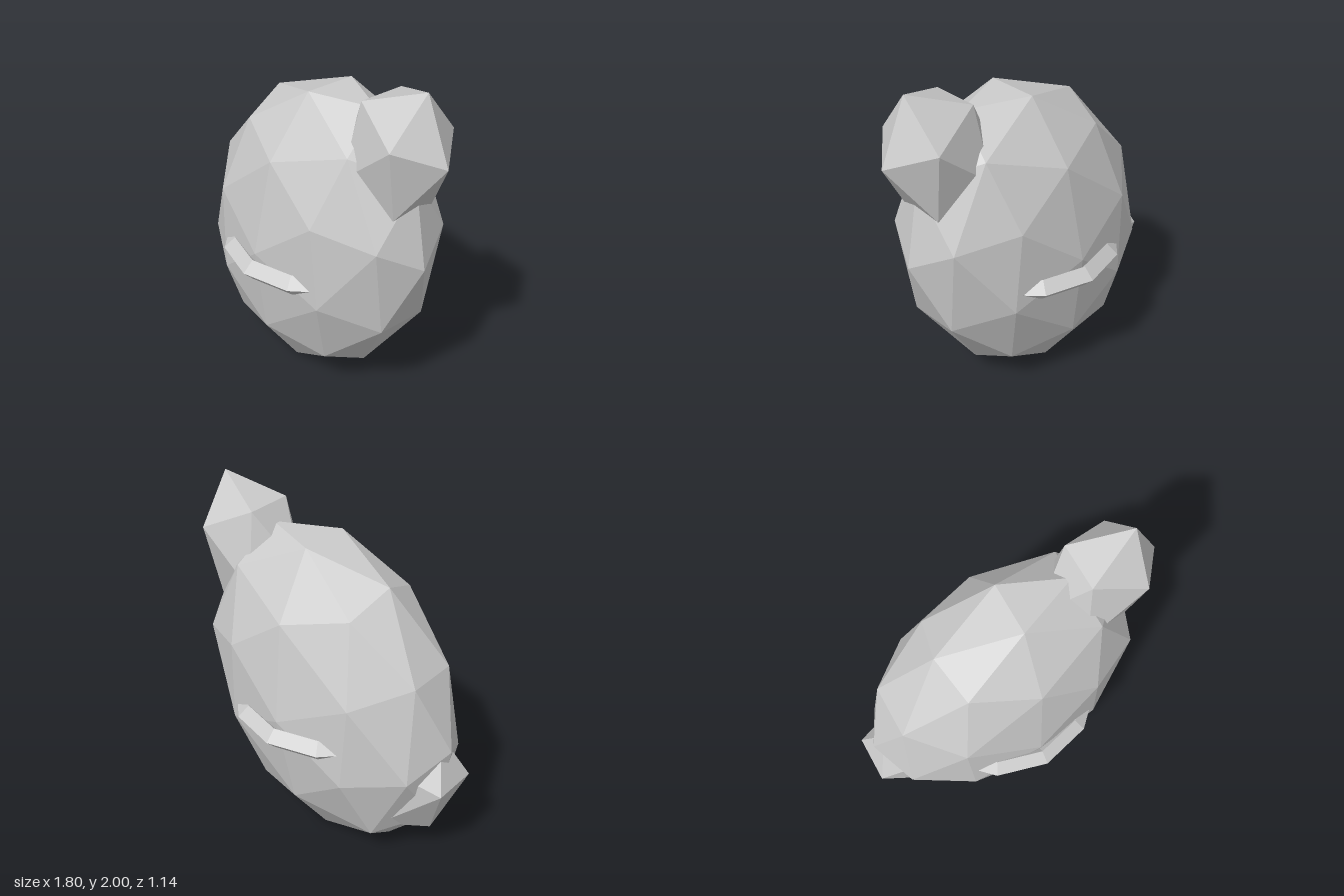
import * as THREE from 'three';

const material = new THREE.MeshStandardMaterial({ color: 0xcccccc, flatShading: true });

// Faceted ball, stretched and slanted in the xy plane:
// u and v are where its x and y radii end up, depth is its z radius.
function facetedBall(name, detail, center, u, v, depth) {
  const geometry = new THREE.IcosahedronGeometry(1, detail);
  geometry.applyMatrix4(new THREE.Matrix4().set(
    u[0], v[0], 0, center[0],
    u[1], v[1], 0, center[1],
    0, 0, depth, 0,
    0, 0, 0, 1
  ));
  geometry.computeVertexNormals();
  const mesh = new THREE.Mesh(geometry, material);
  mesh.name = name;
  return mesh;
}

export function createModel() {
  const model = new THREE.Group();
  model.name = 'lowPolyBird';

  // Body, head and tail all lean towards +x
  model.add(
    facetedBall('body', 1, [-0.04, 0.9], [0.372, -0.757], [0.735, 0.575], 0.49),
    facetedBall('head', 0, [0.5475, 1.59], [0.15, -0.341], [0.323, 0.266], 0.262),
    facetedBall('tail', 0, [-0.558, 0.483], [0.402, -0.137], [-0.017, 0.394], 0.257)
  );

  // Ring through the body whose two exposed arcs form the wings
  const wings = new THREE.Mesh(new THREE.TorusGeometry(0.508, 0.0625, 4, 12), material);
  wings.name = 'wings';
  wings.rotation.x = Math.PI / 2;
  wings.position.set(-0.04, 0.805, 0);
  model.add(wings);

  return model;
}
